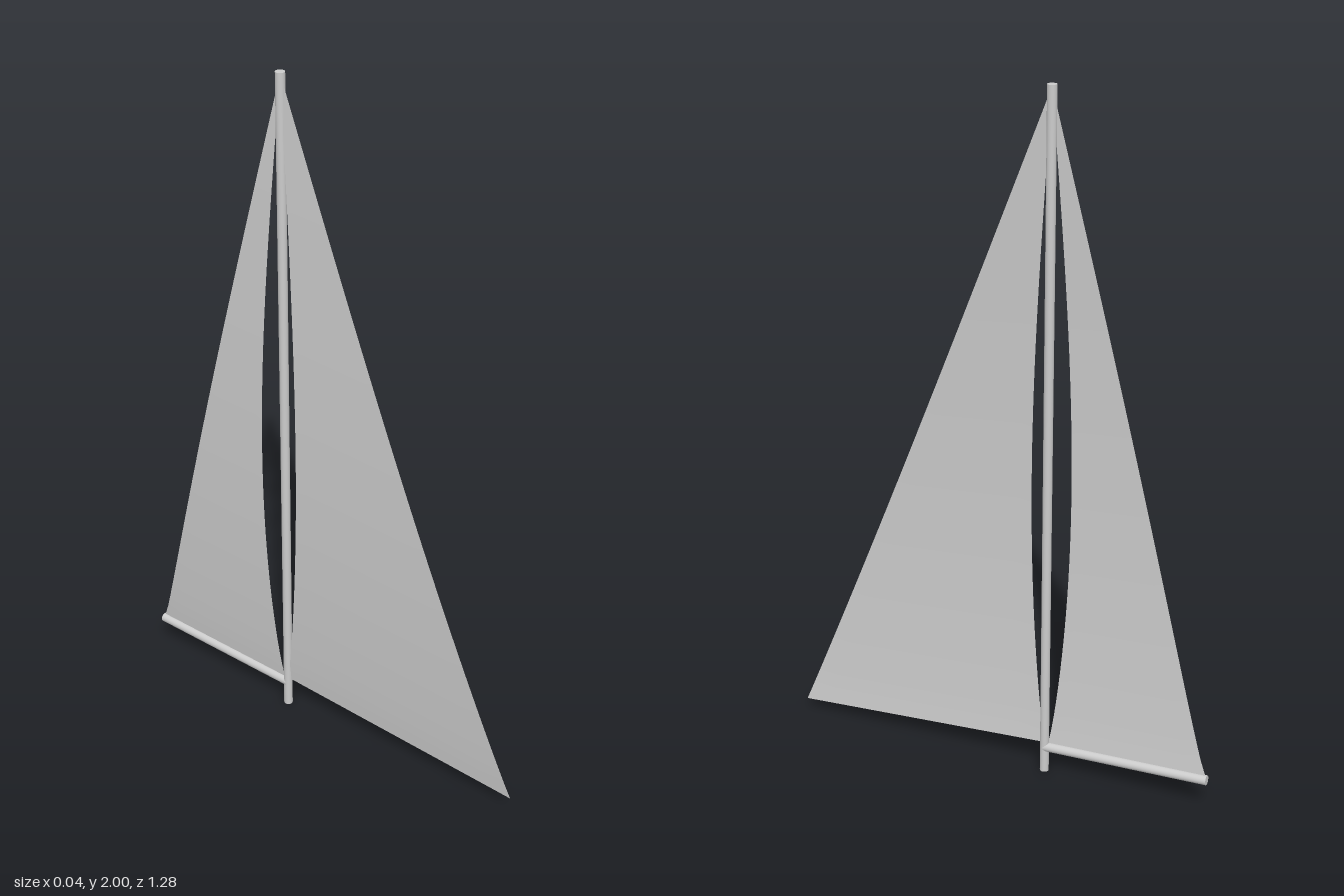
import * as THREE from 'three';

const CX = 0.008;       // centre plane of the rig
const MAST_Z = -0.147;
const BELLY = 0.03;     // how far the sails billow towards -x

// Round spar between two points
function spar(name, a, b, radius, material) {
  const dir = b.clone().sub(a);
  const mesh = new THREE.Mesh(new THREE.CylinderGeometry(radius, radius, dir.length(), 20), material);
  mesh.position.copy(a).add(b).multiplyScalar(0.5);
  mesh.quaternion.setFromUnitVectors(new THREE.Vector3(0, 1, 0), dir.normalize());
  mesh.name = name;
  return mesh;
}

// Three-cornered sail; inner and outer feet are [z, y], and both edges rise to the masthead
function sail(name, inner, outer, innerBow, outerBow, material) {
  const geometry = new THREE.PlaneGeometry(1, 1, 10, 40);
  const pos = geometry.attributes.position;
  const head = [MAST_Z, 1.995];
  const mix = THREE.MathUtils.lerp;
  for (let i = 0; i < pos.count; i++) {
    const u = pos.getX(i) + 0.5;
    const v = pos.getY(i) + 0.5;
    const bow = Math.sin(Math.PI * Math.pow(v, 0.8));
    const lowBow = Math.sin(Math.PI * Math.pow(v, 0.5));
    const zIn = mix(inner[0], head[0], v) + innerBow * bow;
    const zOut = mix(outer[0], head[0], v) + outerBow * lowBow;
    const y = mix(mix(inner[1], outer[1], u), head[1], v);
    pos.setXYZ(i, CX - BELLY * bow, y, mix(zIn, zOut, u));
  }
  geometry.computeVertexNormals();
  const mesh = new THREE.Mesh(geometry, material);
  mesh.name = name;
  return mesh;
}

export function createModel() {
  const group = new THREE.Group();
  group.name = 'sailRig';
  const wood = new THREE.MeshStandardMaterial({ color: 0xcccccc });
  const cloth = new THREE.MeshStandardMaterial({ color: 0xcccccc, side: THREE.DoubleSide });

  // Mast and the boom running aft from it
  group.add(spar('mast', new THREE.Vector3(CX, 0, MAST_Z), new THREE.Vector3(CX, 2, MAST_Z), 0.013, wood));
  group.add(spar('boom', new THREE.Vector3(CX, 0.079, MAST_Z), new THREE.Vector3(CX, 0.101, -0.637), 0.014, wood));

  // Foresail with a bowed trailing edge, mainsail bowed away from the mast
  group.add(sail('foresail', [MAST_Z, 0.093], [0.64, 0.037], 0.06, 0, cloth));
  group.add(sail('mainsail', [MAST_Z - 0.01, 0.088], [-0.633, 0.112], -0.052, 0.013, cloth));
  return group;
}
